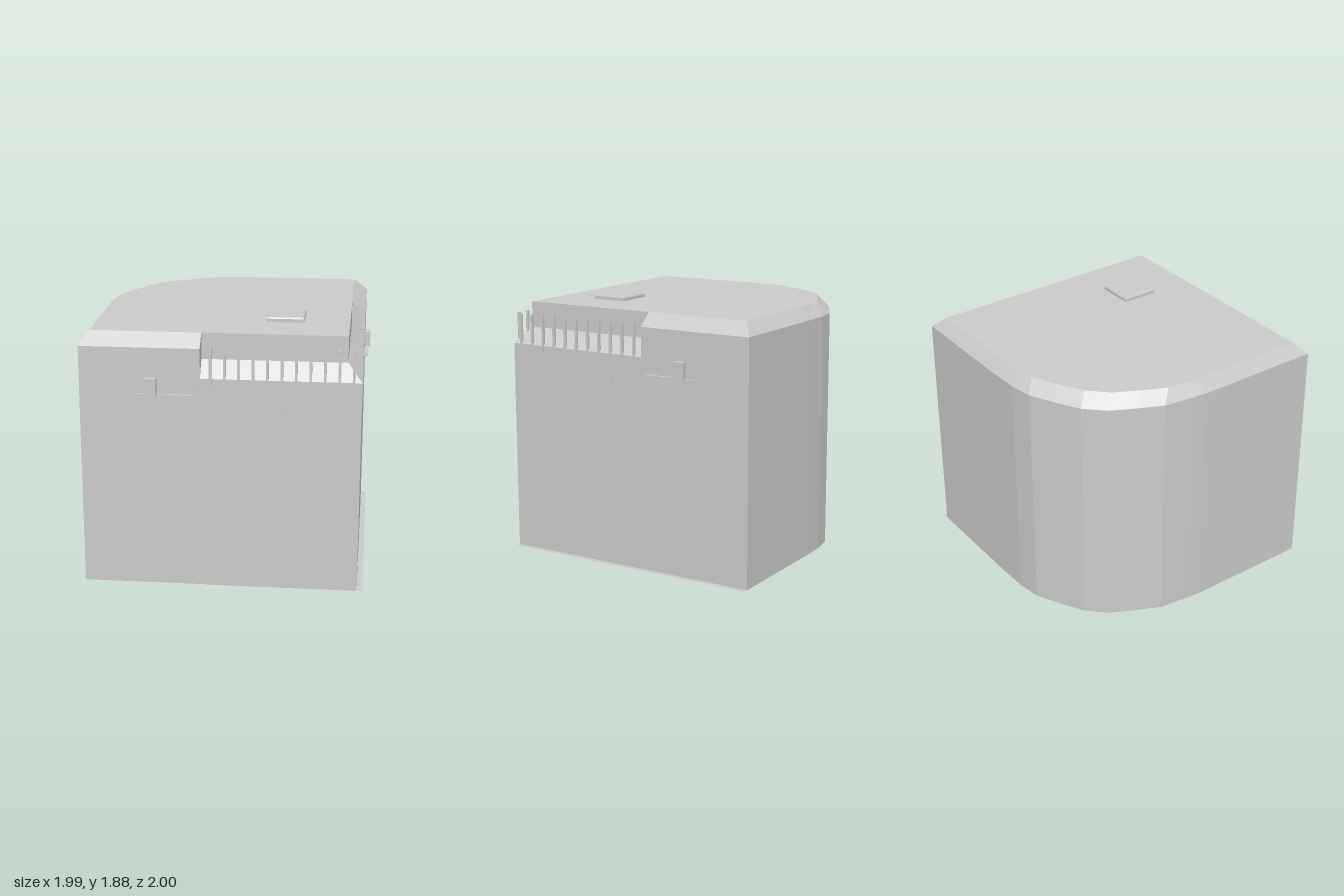
import * as THREE from 'three';

const grey = new THREE.MeshStandardMaterial({ color: 0xcccccc });
const greyThin = new THREE.MeshStandardMaterial({ color: 0xcccccc, side: THREE.DoubleSide });

const BASE = 0.01, EAVE = 1.75, ROOF = 1.84, SILL = 1.54, SILL_BACK = 1.655;

// Footprint, counter-clockwise from above: [outer x, outer z, roof-edge x, roof-edge z, opening starts here]
const OUTLINE = [
  [-1, 0.96, -0.935, 0.865],
  [-0.16, 0.96, -0.16, 0.865, true],
  [0.945, 0.96, 0.845, 0.865, true],
  [0.945, -0.15, 0.845, -0.15],
  [0.945, -1, 0.845, -0.925],
  [0.1, -1, 0, -0.925],
  [-0.14, -0.993, -0.12, -0.915],
  [-0.31, -0.965, -0.24, -0.9],
  [-0.48, -0.88, -0.42, -0.81],
  [-0.66, -0.78, -0.6, -0.71],
  [-0.79, -0.645, -0.73, -0.58],
  [-0.88, -0.47, -0.825, -0.4],
  [-0.96, -0.3, -0.905, -0.23],
  [-0.99, -0.08, -0.93, -0.05],
  [-1, 0.02, -0.935, 0],
];

function flatGeometry(points) {
  const g = new THREE.BufferGeometry();
  g.setAttribute('position', new THREE.Float32BufferAttribute(points.flat(), 3));
  g.computeVertexNormals();
  return g;
}

const quad = (a, b, c, d) => [a, b, c, a, c, d];
const outer = (p, y) => [p[0], y, p[1]];
const inner = (p, y) => [p[2], y, p[3]];

function add(parent, name, geometry, material = grey) {
  const mesh = new THREE.Mesh(geometry, material);
  mesh.name = name;
  parent.add(mesh);
  return mesh;
}

function box(parent, name, [x0, x1], [y0, y1], [z0, z1]) {
  const mesh = add(parent, name, new THREE.BoxGeometry(x1 - x0, y1 - y0, z1 - z0));
  mesh.position.set((x0 + x1) / 2, (y0 + y1) / 2, (z0 + z1) / 2);
}

// Upright prism over a floor plan given as x, z pairs
function prism(plan, y0, y1) {
  const shape = new THREE.Shape(plan.map(([x, z]) => new THREE.Vector2(x, -z)));
  const g = new THREE.ExtrudeGeometry(shape, { depth: y1 - y0, bevelEnabled: false });
  return g.rotateX(-Math.PI / 2).translate(0, y0, 0);
}

export function createModel() {
  const model = new THREE.Group();
  model.name = 'building';

  // Walls, sloping eaves, corner opening and slightly raised roof
  const walls = [], eaves = [], opening = [], roof = [];
  const peak = [-0.04, 1.853, -0.12];
  OUTLINE.forEach((a, i) => {
    const b = OUTLINE[(i + 1) % OUTLINE.length];
    const top = a[4] ? SILL : EAVE;
    walls.push(...quad(outer(a, BASE), outer(b, BASE), outer(b, top), outer(a, top)));
    if (a[4]) {
      opening.push(...quad(outer(a, SILL), outer(b, SILL), inner(b, SILL_BACK), inner(a, SILL_BACK)));
      opening.push(...quad(inner(a, SILL_BACK), inner(b, SILL_BACK), inner(b, ROOF), inner(a, ROOF)));
    } else {
      eaves.push(...quad(outer(a, EAVE), outer(b, EAVE), inner(b, ROOF), inner(a, ROOF)));
    }
    roof.push(inner(a, ROOF), inner(b, ROOF), peak);
  });
  // Cheeks closing both ends of the opening
  const [, p, , q] = OUTLINE;
  opening.push(...quad(outer(p, SILL), inner(p, SILL_BACK), inner(p, ROOF), outer(p, EAVE)));
  opening.push(...quad(inner(q, SILL_BACK), outer(q, SILL), outer(q, EAVE), inner(q, ROOF)));

  add(model, 'walls', flatGeometry(walls), greyThin);
  add(model, 'eaves', flatGeometry(eaves), greyThin);
  add(model, 'cornerOpening', flatGeometry(opening), greyThin);
  add(model, 'roof', flatGeometry(roof), greyThin);

  // Row of bars across both sides of the opening
  const bars = new THREE.Group();
  bars.name = 'openingBars';
  model.add(bars);
  for (let i = 0; i < 11; i++) {
    const x = -0.091 + i * 0.098, z = -0.084 + i * 0.098;
    box(bars, 'frontBar', [x - 0.009, x + 0.009], [1.3, 1.76], [0.943, 0.961]);
    box(bars, 'sideBar', [0.928, 0.946], [1.3, 1.76], [z - 0.009, z + 0.009]);
  }

  // Small lamp ledges on the front and left walls
  const frontLedge = new THREE.Group();
  frontLedge.name = 'frontLedge';
  model.add(frontLedge);
  box(frontLedge, 'lamp', [-0.54, -0.46], [1.425, 1.54], [0.95, 1]);
  box(frontLedge, 'shelf', [-0.615, -0.39], [1.415, 1.425], [0.95, 0.975]);
  box(frontLedge, 'shelf', [-0.39, -0.2], [1.415, 1.425], [0.95, 0.987]);
  for (const x of [-0.6, -0.215]) box(frontLedge, 'knob', [x - 0.006, x + 0.006], [1.464, 1.476], [0.95, 0.968]);

  const sideLedge = new THREE.Group();
  sideLedge.name = 'sideLedge';
  model.add(sideLedge);
  box(sideLedge, 'lamp', [0.935, 0.985], [1.425, 1.54], [-0.515, -0.435]);
  box(sideLedge, 'shelf', [0.935, 0.96], [1.415, 1.425], [-0.595, -0.39]);
  box(sideLedge, 'shelf', [0.935, 0.972], [1.415, 1.425], [-0.39, -0.185]);
  for (const z of [-0.575, -0.19]) box(sideLedge, 'knob', [0.935, 0.953], [1.464, 1.476], [z - 0.006, z + 0.006]);

  // Roof hatch with bevelled rim
  const hatch = new THREE.Group();
  hatch.name = 'roofHatch';
  model.add(hatch);
  box(hatch, 'hatchBase', [0.258, 0.525], [1.83, 1.868], [0.27, 0.54]);
  const lid = new THREE.CylinderGeometry(0.252 / Math.SQRT2, 0.267 / Math.SQRT2, 0.01, 4, 1).rotateY(Math.PI / 4);
  const lidMesh = add(hatch, 'hatchLid', lid.toNonIndexed());
  lidMesh.geometry.computeVertexNormals();
  lidMesh.position.set(0.3915, 1.873, 0.405);

  // Inner core seen from underneath: rounded back corner, plus the block under the opening
  add(model, 'innerCore', prism([
    [-0.61, 0.55], [0.54, 0.55], [0.54, -0.59], [-0.36, -0.59], [-0.45, -0.57],
    [-0.53, -0.51], [-0.59, -0.43], [-0.61, -0.34],
  ], 0, 1.8));
  add(model, 'cornerCore', prism([
    [-0.14, 0.957], [0.942, 0.957], [0.942, -0.15], [-0.14, -0.15],
  ], 0.006, 1.53));

  // Thin ground strip along the left wall
  add(model, 'groundStrip', flatGeometry(
    quad([0.945, BASE, 0.96], [0.985, BASE, 0.96], [0.985, BASE, -1], [0.945, BASE, -1])), greyThin);

  return model;
}
